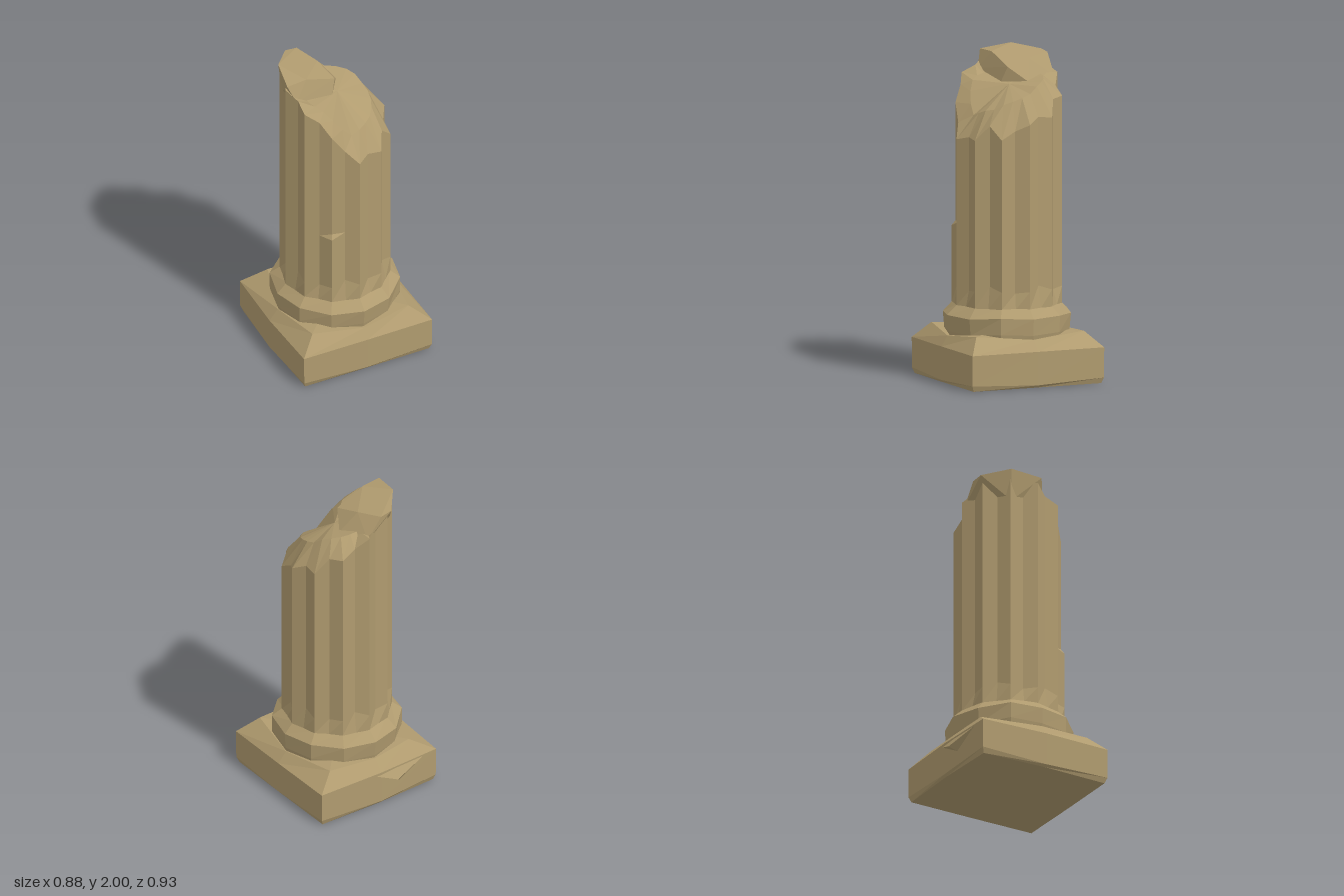
import * as THREE from 'three';
import { ConvexGeometry } from 'three/addons/geometries/ConvexGeometry.js';

// Skin between rings of equal length (bottom to top), closed by fans to two centre points
function loft(rings, bottom, top) {
  const pos = [];
  const tri = (...pts) => pts.forEach((p) => pos.push(...p));
  const n = rings[0].length;
  for (let i = 0; i < n; i++) {
    const j = (i + 1) % n;
    for (let k = 0; k + 1 < rings.length; k++) {
      const a = rings[k], b = rings[k + 1];
      tri(a[i], a[j], b[j]);
      tri(a[i], b[j], b[i]);
    }
    const last = rings[rings.length - 1];
    tri(bottom, rings[0][j], rings[0][i]);
    tri(top, last[i], last[j]);
  }
  const g = new THREE.BufferGeometry();
  g.setAttribute('position', new THREE.Float32BufferAttribute(pos, 3));
  g.computeVertexNormals();
  return g;
}

// Ring of n points; angle 0 is the front and grows toward +x
const CZ = 0.025;
const ring = (n, radius, height) => Array.from({ length: n }, (_, i) => {
  const a = (i / n) * Math.PI * 2;
  const r = radius(i);
  return [Math.sin(a) * r, height(i), CZ + Math.cos(a) * r];
});

const hull = (pts) => new ConvexGeometry(pts.map((p) => new THREE.Vector3(...p)));

export function createModel() {
  const group = new THREE.Group();
  const stone = new THREE.MeshStandardMaterial({ color: 0xb09b6f });
  stone.name = 'sandstone';
  stone.flatShading = true;
  const add = (name, geometry) => {
    const mesh = new THREE.Mesh(geometry, stone);
    mesh.name = name;
    group.add(mesh);
  };

  // Square plinth with worn lower edge and sloping top
  const outline = [[-0.43, 0.46], [0, 0.46], [0.44, 0.455], [0.442, 0.02],
    [0.44, -0.42], [0, -0.43], [-0.42, -0.415], [-0.44, 0.02]];
  const shoulder = [[-0.33, 0.375], [0, 0.42], [0.32, 0.375], [0.385, 0.02],
    [0.32, -0.34], [0, -0.365], [-0.27, -0.34], [-0.385, 0.02]];
  const shoulderY = [0.32, 0.285, 0.315, 0.285, 0.31, 0.29, 0.31, 0.29];
  add('plinth', loft([
    outline.map(([x, z]) => [x * 0.965, 0, z * 0.97]),
    outline.map(([x, z], i) => [x * 0.995, i % 2 ? 0.015 : 0.035, z]),
    outline.map(([x, z]) => [x, 0.22, z]),
    shoulder.map(([x, z], i) => [x, shoulderY[i], z]),
  ], [0, 0, 0.02], [0, 0.31, 0.02]));

  // Broken lip on the back of the plinth
  add('plinthChip', hull([[-0.36, 0.22, -0.41], [-0.1, 0.15, -0.465], [0.05, 0.21, -0.425],
    [-0.1, 0.25, -0.4], [-0.14, 0.11, -0.42], [-0.1, 0.18, -0.38]]));

  // Twelve-sided base moulding
  const worn = [0, -0.005, 0.01, 0, 0.005, -0.005];
  add('baseMoulding', loft([
    ring(12, (i) => 0.375 + worn[i % 6], () => 0.26),
    ring(12, (i) => 0.385 + worn[i % 6], (i) => 0.31 + worn[i % 6]),
    ring(12, (i) => 0.392 + worn[(i + 2) % 6] * 0.6, (i) => 0.41 + worn[i % 6]),
    ring(12, () => 0.325, () => 0.475),
  ], [0, 0.26, CZ], [0, 0.475, CZ]));

  // Fluted shaft: even points are ridges, odd points are flutes
  const rim = [1.48, 1.5, 1.49, 1.58, 1.5, 1.55, 1.59, 1.63, 1.62, 1.72, 1.73, 1.78,
    1.85, 1.9, 1.95, 1.95, 1.94, 1.93, 1.93, 1.88, 1.84, 1.78, 1.68, 1.57];
  const breakY = [1.62, 1.64, 1.66, 1.67, 1.7, 1.72, 1.74, 1.76, 1.8, 1.82, 1.83, 1.84,
    1.85, 1.86, 1.88, 1.88, 1.88, 1.87, 1.85, 1.84, 1.83, 1.81, 1.75, 1.68];
  const chipped = 22;
  const radius = (i) => (i % 2 ? 0.298 : 0.335);
  const chippedRadius = (i) => (i === chipped ? 0.312 : radius(i));
  add('flutedShaft', loft([
    ring(24, (i) => (i % 2 ? 0.322 : 0.335), () => 0.465),
    ring(24, radius, (i) => (i % 2 ? 0.54 + 0.06 * ((i * 5) % 4) / 3 : 0.57)),
    ring(24, radius, () => 0.93),
    ring(24, chippedRadius, () => 0.96),
    ring(24, chippedRadius, (i) => rim[i]),
    ring(24, (i) => radius(i - (i % 2)) * 0.66, (i) => breakY[i]),
  ], [0, 0.465, CZ], [0.02, 1.8, 0.02]));

  // Jagged piece left standing on the broken top
  add('brokenTop', hull([[-0.335, 1.97, 0.05], [-0.3, 2, -0.14], [-0.18, 1.97, -0.285],
    [-0.1, 1.96, -0.29], [-0.035, 1.94, -0.14], [0, 1.9, 0.02], [-0.2, 1.97, 0.035],
    [-0.29, 1.86, 0.085], [-0.03, 1.81, 0.05], [0.065, 1.81, -0.09], [0, 1.83, -0.29],
    [-0.28, 1.8, -0.13]]));

  return group;
}
